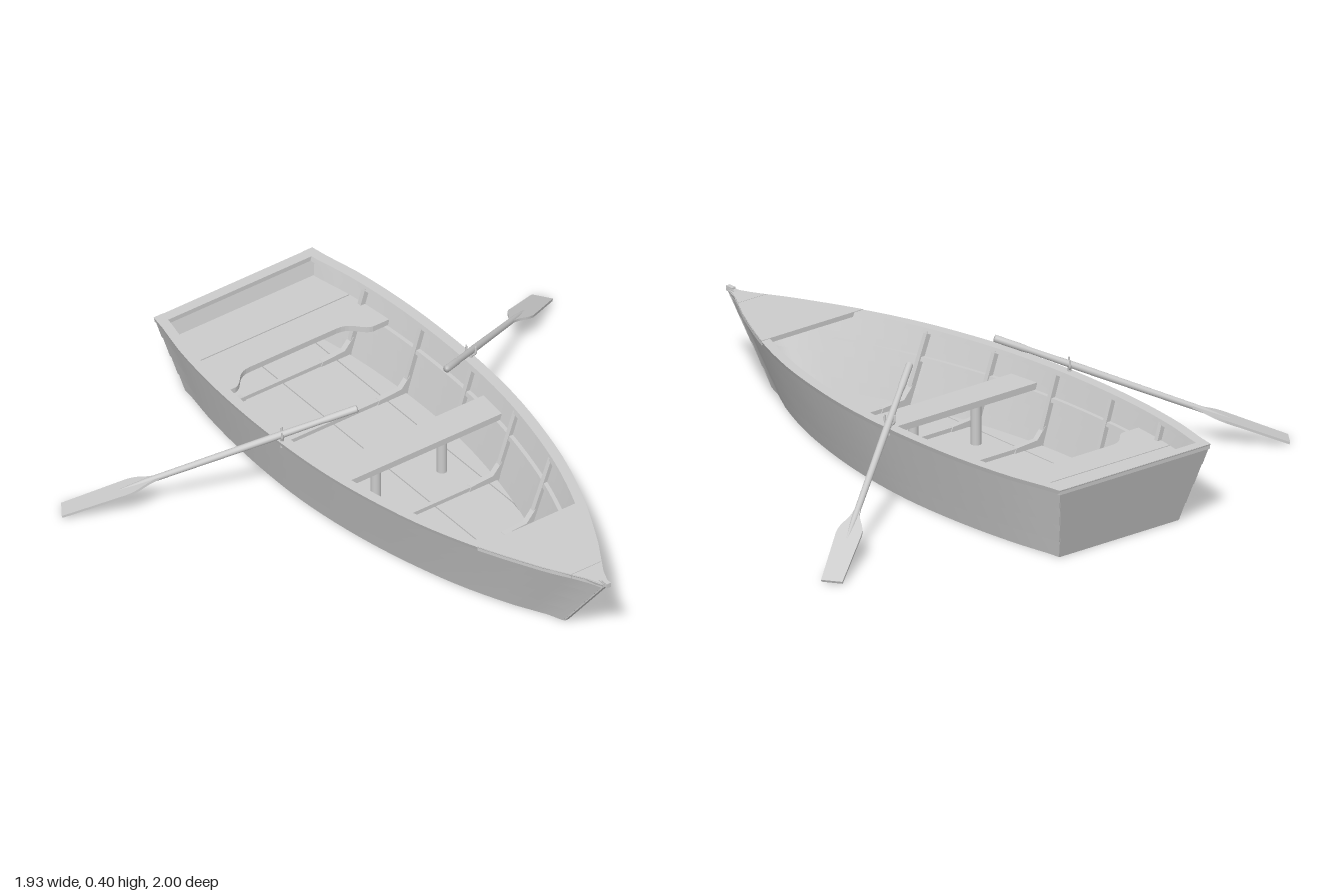
import * as THREE from 'three';
import { toCreasedNormals } from 'three/addons/utils/BufferGeometryUtils.js';

const material = new THREE.MeshStandardMaterial({ color: 0xcccccc, side: THREE.DoubleSide });
const V = (x, y, z) => new THREE.Vector3(x, y, z);
const lerp = THREE.MathUtils.lerp;
const HEIGHT = 0.265, STATIONS = 32;

// Half-widths of the hull from stern to bow, at the rim and at the bottom
const curveOf = (widths) => new THREE.SplineCurve(widths.map((w, i) => new THREE.Vector2(i / (widths.length - 1), w)));
const rim = curveOf([0.31, 0.35, 0.374, 0.383, 0.38, 0.364, 0.33, 0.28, 0.207, 0.112, 0.008]);
const base = curveOf([0.245, 0.272, 0.29, 0.298, 0.296, 0.28, 0.252, 0.212, 0.16, 0.09, 0.008]);
const sternZ = (h) => lerp(-0.92, -1, h);
const bowZ = (h) => lerp(0.77, 0.985, h);

// Point on the left hull side: t from stern to bow, h from bottom to rim
function hullPoint(t, h, inset = 0) {
  const w = lerp(base.getPoint(t).y, rim.getPoint(t).y, h);
  return V(Math.max(w - inset, 0.002), h * HEIGHT, lerp(sternZ(h), bowZ(h), t));
}
const hullAt = (z, h, inset) =>
  hullPoint(THREE.MathUtils.clamp((z - sternZ(h)) / (bowZ(h) - sternZ(h)), 0, 1), h, inset);

// Closed solid through a row of cross-section loops, turned outward by its volume
function loft(rows) {
  const n = rows[0].length, last = rows.length - 1, tris = [];
  for (let i = 0; i < last; i++) for (let j = 0; j < n; j++) {
    const k = (j + 1) % n, a = rows[i][j], b = rows[i][k], c = rows[i + 1][k], d = rows[i + 1][j];
    tris.push([a, b, c], [a, c, d]);
  }
  for (let j = 1; j < n - 1; j++) {
    tris.push([rows[0][0], rows[0][j + 1], rows[0][j]], [rows[last][0], rows[last][j], rows[last][j + 1]]);
  }
  const volume = tris.reduce((s, [a, b, c]) => s + a.dot(b.clone().cross(c)), 0);
  if (volume < 0) tris.forEach((t) => t.reverse());
  const geometry = new THREE.BufferGeometry().setFromPoints(tris.flat());
  geometry.computeVertexNormals();
  return toCreasedNormals(geometry, 0.5);
}

function add(parent, name, geometry, x = 0, y = 0, z = 0) {
  const mesh = new THREE.Mesh(geometry, material);
  mesh.name = name;
  mesh.position.set(x, y, z);
  parent.add(mesh);
  return mesh;
}
const mirror = (rows) => rows.map((r) => r.map((p) => V(-p.x, p.y, p.z)));
function addPair(parent, name, rows) {
  add(parent, name + 'Left', loft(rows));
  add(parent, name + 'Right', loft(mirror(rows)));
}
const along = (fn, t0 = 0, t1 = 1) => Array.from({ length: STATIONS + 1 }, (_, i) => fn(lerp(t0, t1, i / STATIONS)));

// Strip running along the hull side between two heights
const strip = (h0, h1, out0, out1, inset, t0, t1) => along((t) => [
  hullPoint(t, h0, out0), hullPoint(t, h1, out1), hullPoint(t, h1, inset), hullPoint(t, h0, inset)], t0, t1);

// Lengthwise planks trimmed to the bottom outline
function planks(parent, name, edges, y0, y1, inset, gap, t1) {
  for (let i = 0; i < edges.length - 1; i++) {
    add(parent, name, loft(along((t) => {
      const w = hullPoint(t, 0, inset).x;
      const a = THREE.MathUtils.clamp(edges[i] + gap, -w, w), b = THREE.MathUtils.clamp(edges[i + 1] - gap, -w, w);
      const z = hullPoint(t, 0).z;
      return [V(a, y0, z), V(b, y0, z), V(b, y1, z), V(a, y1, z)];
    }, 0, t1)));
  }
}

// Horizontal board from an outline of [x, z] points on the left, mirrored to the right
function board(parent, name, half, top, thickness) {
  const outline = [...half, ...half.slice().reverse().map(([x, z]) => [-x, z])];
  const shape = new THREE.Shape(outline.map(([x, z]) => new THREE.Vector2(x, z)));
  const geometry = new THREE.ExtrudeGeometry(shape, { depth: thickness, bevelEnabled: false });
  add(parent, name, geometry.rotateX(Math.PI / 2), 0, top, 0);
}
const sideLine = (z0, z1, h, inset, n = 8) => Array.from({ length: n + 1 }, (_, i) => {
  const z = lerp(z0, z1, i / n);
  return [hullAt(z, h, inset).x, z];
});

function makeOar() {
  const oar = new THREE.Group();
  const handle = V(0.175, 0.387, -0.1), tip = V(0.945, 0.007, -0.632);
  const dir = tip.clone().sub(handle), length = dir.length();
  dir.normalize();
  const side = dir.clone().cross(V(0, 1, 0)).normalize();
  oar.position.copy(handle);
  oar.quaternion.setFromRotationMatrix(new THREE.Matrix4().makeBasis(side, dir, side.clone().cross(dir)));
  const shaft = [[0, 0], [0.012, 0.002], [0.012, 0.1], [0.01, 0.12], [0.012, 0.3], [0.01, 0.72], [0.004, 0.82], [0, 0.83]];
  add(oar, 'oarShaft', new THREE.LatheGeometry(shaft.map(([r, y]) => new THREE.Vector2(r, y)), 12));
  // Flat blade that widens quickly and narrows a little to a square end
  const blade = new THREE.Shape();
  blade.moveTo(0.01, 0.68);
  blade.bezierCurveTo(0.015, 0.73, 0.04, 0.74, 0.042, 0.79);
  blade.lineTo(0.035, length);
  blade.lineTo(-0.035, length);
  blade.lineTo(-0.042, 0.79);
  blade.bezierCurveTo(-0.04, 0.74, -0.015, 0.73, -0.01, 0.68);
  add(oar, 'oarBlade', new THREE.ExtrudeGeometry(blade, { depth: 0.008, bevelEnabled: false }), 0, 0, -0.004);
  return oar;
}

export function createModel() {
  const boat = new THREE.Group();
  boat.name = 'rowingBoat';

  // Overlapping side planks and matching stern planks
  const steps = [0, 0.226, 0.48, 0.74, 1];
  for (let i = 0; i < 4; i++) {
    addPair(boat, 'sidePlank', strip(steps[i], steps[i + 1], -0.003, 0, 0.016));
    add(boat, 'sternPlank', loft([[steps[i], 0.002], [steps[i + 1], 0]].map(([h, out]) => {
      const p = hullPoint(0, h), z = p.z - out;
      return [V(-p.x, p.y, z), V(p.x, p.y, z), V(p.x, p.y, p.z + 0.03), V(-p.x, p.y, p.z + 0.03)];
    })));
  }
  planks(boat, 'bottomPlank', [-0.32, -0.2, -0.1, 0, 0.1, 0.2, 0.32], 0, 0.014, 0, 0.0008, 1);
  planks(boat, 'floorBoard', [-0.32, -0.21, 0, 0.21, 0.32], 0.016, 0.028, 0.014, 0.002, 0.93);

  // Rim rails, seat risers and stern cap
  addPair(boat, 'rimRail', strip(0.945, 1.004, -0.002, -0.002, 0.034));
  addPair(boat, 'seatRiser', strip(0.62, 0.67, 0.014, 0.014, 0.03, 0.02, 0.85));
  add(boat, 'sternCap', new THREE.BoxGeometry(0.62, 0.016, 0.036), 0, 0.258, -0.981);

  // Frames with floor bars and knees
  for (const z of [-0.74, -0.47, -0.2, 0.07, 0.335]) {
    const rows = [0.05, 0.97].map((h) => [[0.014, -1], [0.034, -1], [0.034, 1], [0.014, 1]].map(([inset, s]) => {
      const p = hullAt(z, h, inset);
      return V(p.x, p.y, z + s * 0.008);
    }));
    addPair(boat, 'frameRib', rows);
    const w = hullAt(z, 0.1, 0.016).x;
    add(boat, 'frameFloorBar', new THREE.BoxGeometry(w * 2, 0.016, 0.014), 0, 0.034, z);
    addPair(boat, 'frameKnee', [-0.01, 0.01].map((s) => [
      V(w, 0.024, z + s), V(w - 0.12, 0.024, z + s), V(w - 0.11, 0.044, z + s),
      V(w - 0.025, 0.05, z + s), V(w + 0.01, 0.09, z + s)]));
  }

  // Stern seat in two boards, the front one cut back in the middle
  const seatH = 0.755;
  board(boat, 'sternSeatBack', sideLine(-0.955, -0.802, seatH, 0.018), 0.2, 0.02);
  const cut = new THREE.CubicBezierCurve(new THREE.Vector2(0.27, -0.62), new THREE.Vector2(0.23, -0.63),
    new THREE.Vector2(0.23, -0.68), new THREE.Vector2(0.17, -0.68)).getPoints(10).map((p) => [p.x, p.y]);
  board(boat, 'sternSeatFront', [...sideLine(-0.798, -0.62, seatH, 0.018), ...cut], 0.2, 0.02);

  // Rowing seat on two round posts
  board(boat, 'rowingSeat', sideLine(-0.12, -0.008, seatH, 0.018), 0.2, 0.022);
  for (const x of [-0.13, 0.13]) {
    add(boat, 'seatPost', new THREE.CylinderGeometry(0.017, 0.017, 0.155, 16), x, 0.102, -0.064);
  }

  // Bow deck, stem and its peg
  board(boat, 'bowDeck', sideLine(0.585, 0.879, 1, -0.001, 10), 0.268, 0.016);
  board(boat, 'bowDeckTip', sideLine(0.881, 0.978, 1, -0.001, 4), 0.268, 0.016);
  add(boat, 'stem', loft([[0, 0.775], [0.272, 0.996]].map(([y, z]) => [
    V(-0.009, y, z), V(0.009, y, z), V(0.009, y, z - 0.035), V(-0.009, y, z - 0.035)])));
  add(boat, 'stemPeg', new THREE.BoxGeometry(0.016, 0.016, 0.03), 0, 0.27, 0.985);

  // Oars in their rowlocks, mirrored
  for (const s of [1, -1]) {
    const group = new THREE.Group();
    group.name = s > 0 ? 'leftOar' : 'rightOar';
    group.add(makeOar());
    const lock = new THREE.Group();
    lock.name = 'rowlock';
    lock.position.set(0.372, 0.29, -0.236);
    lock.rotation.y = 0.6;
    add(lock, 'rowlockPin', new THREE.CylinderGeometry(0.006, 0.006, 0.04, 10), 0, -0.03, 0);
    add(lock, 'rowlockFork', new THREE.TorusGeometry(0.016, 0.004, 8, 16, Math.PI)
      .rotateZ(Math.PI).rotateY(Math.PI / 2));
    for (const z of [-0.016, 0.016]) {
      add(lock, 'rowlockHorn', new THREE.CylinderGeometry(0.003, 0.004, 0.018, 8), 0, 0.009, z);
    }
    group.add(lock);
    group.scale.x = s;
    boat.add(group);
  }
  return boat;
}
